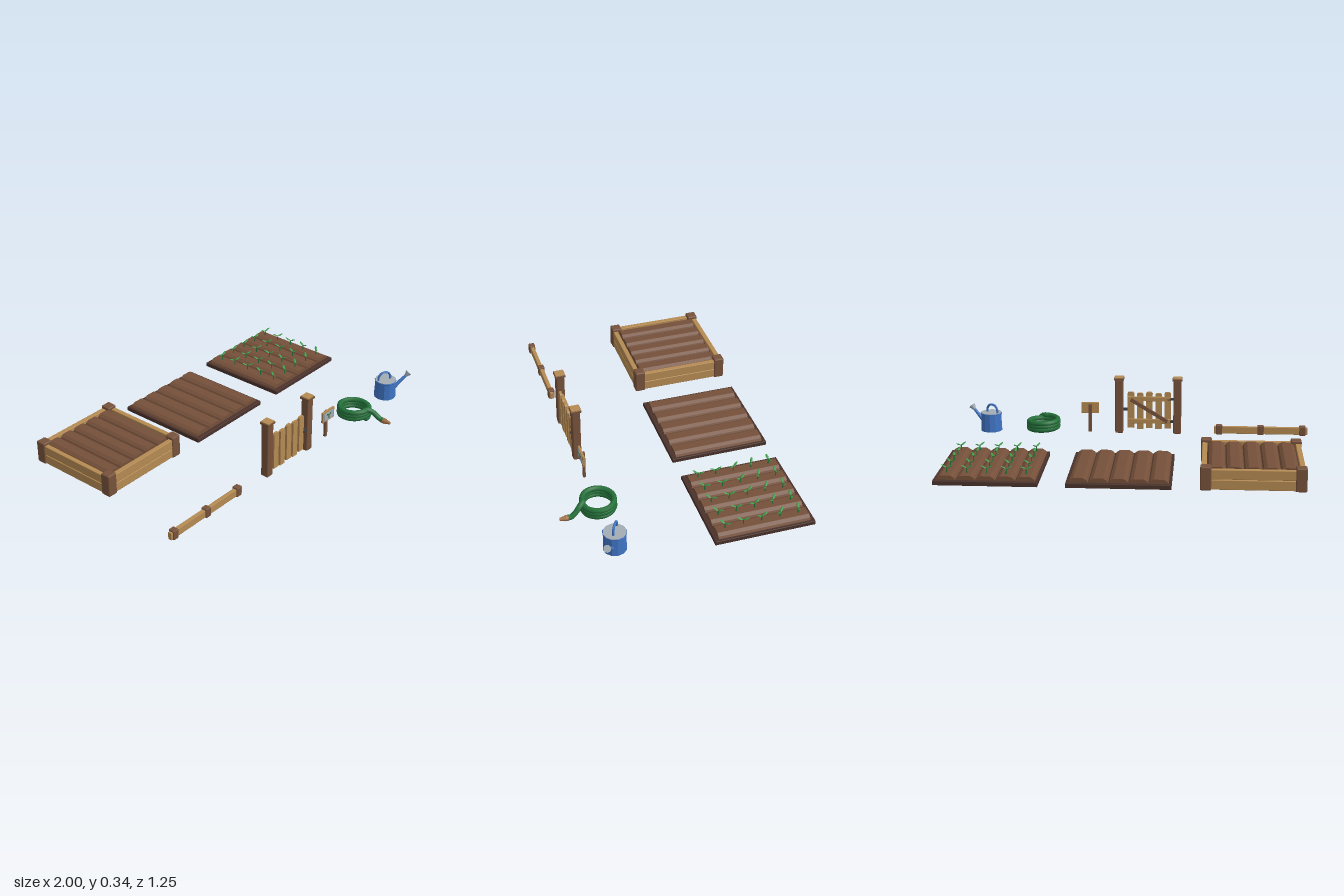
import * as THREE from 'three';
import { RoundedBoxGeometry } from 'three/addons/geometries/RoundedBoxGeometry.js';

const mat = (name, color, extra = {}) => {
  const m = new THREE.MeshStandardMaterial({ color, ...extra });
  m.name = name;
  return m;
};

export function createModel() {
  const M = {
    wood: mat('light wood', 0xb58a52),
    post: mat('brown wood', 0x77523b),
    soil: mat('tilled soil', 0x75503a, { flatShading: true }),
    dark: mat('dark soil', 0x4a322b),
    leaf: mat('leaf green', 0x3c9a45, { flatShading: true }),
    hose: mat('deep green', 0x24713a),
    blue: mat('can blue', 0x3f74c4, { flatShading: true }),
    grey: mat('pale metal', 0xa3adb4),
    iron: mat('dark iron', 0x3a3d42),
    brass: mat('copper fitting', 0xa9744a),
  };
  const model = new THREE.Group();
  model.name = 'gardenSet';

  const group = (name, x, z, parent = model) => {
    const g = new THREE.Group();
    g.name = name;
    g.position.set(x, 0, z);
    parent.add(g);
    return g;
  };
  const add = (parent, name, geo, material, x = 0, y = 0, z = 0) => {
    const m = new THREE.Mesh(geo, material);
    m.name = name;
    m.position.set(x, y, z);
    parent.add(m);
    return m;
  };
  // softly chamfered block
  const block = (p, name, w, h, d, material, x, y, z) =>
    add(p, name, new RoundedBoxGeometry(w, h, d, 1, Math.min(w, h, d) * 0.12), material, x, y, z);
  // rod between two points
  const rod = (p, name, a, b, ra, rb, material, sides = 8) => {
    const dir = b.clone().sub(a);
    const m = add(p, name, new THREE.CylinderGeometry(rb, ra, dir.length(), sides), material);
    m.position.copy(a).addScaledVector(dir, 0.5);
    m.quaternion.setFromUnitVectors(new THREE.Vector3(0, 1, 0), dir.normalize());
    return m;
  };
  const V = (x, y, z) => new THREE.Vector3(x, y, z);

  // five mounded rows of soil running front to back
  const ridges = (p, y, spacing, depth) => {
    const h = spacing / 2;
    const s = new THREE.Shape([
      [-h, 0], [h, 0], [h * 0.85, 0.014], [h * 0.5, 0.025], [-h * 0.5, 0.025], [-h * 0.85, 0.014],
    ].map(([a, b]) => new THREE.Vector2(a, b)));
    const geo = new THREE.ExtrudeGeometry(s, { depth, bevelEnabled: false });
    geo.translate(0, 0, -depth / 2);
    for (let i = -2; i <= 2; i++) add(p, 'soilRidge', geo, M.soil, i * spacing, y, 0);
  };

  // raised bed
  const bed = group('raisedBed', -0.657, -0.357);
  for (const sx of [-1, 1]) for (const sz of [-1, 1])
    block(bed, 'cornerPost', 0.058, 0.126, 0.058, M.post, sx * 0.243, 0.063, sz * 0.243);
  for (const s of [-1, 1]) {
    for (const y of [0.03, 0.085]) {
      block(bed, 'sidePlank', 0.028, 0.052, 0.46, M.wood, s * 0.252, y, 0);
      block(bed, 'endPlank', 0.46, 0.052, 0.028, M.wood, 0, y, s * 0.252);
    }
  }
  add(bed, 'bedSoil', new THREE.BoxGeometry(0.48, 0.086, 0.48), M.dark, 0, 0.047, 0);
  ridges(bed, 0.09, 0.094, 0.456);

  // ground plots
  const plot = (name, x) => {
    const g = group(name, x, -0.357);
    block(g, 'plotBase', 0.546, 0.024, 0.546, M.dark, 0, 0.012, 0);
    ridges(g, 0.022, 0.104, 0.5);
    return g;
  };
  plot('tilledPlot', 0.033);
  const planted = plot('plantedPlot', 0.722);

  // seedlings, each row turned further than the last
  const leafGeo = new THREE.OctahedronGeometry(1, 1);
  leafGeo.scale(0.018, 0.0035, 0.0075);
  const stemGeo = new THREE.CylinderGeometry(0.0025, 0.004, 0.032, 6);
  for (let c = -2; c <= 2; c++) for (let r = 0; r < 5; r++) {
    const s = group('seedling', c * 0.104, (r - 2) * 0.1, planted);
    s.rotation.y = -0.55 * r - 0.08 * (c + 2) + 0.1;
    add(s, 'stem', stemGeo, M.hose, 0, 0.061, 0);
    for (const k of [-1, 1]) {
      const l = add(s, 'leaf', leafGeo, M.leaf, k * 0.016, 0.081, 0);
      l.rotation.z = k * 0.45;
    }
  }

  // low edging
  const edge = group('edging', -0.728, 0.402);
  block(edge, 'edgingPlank', 0.543, 0.042, 0.022, M.wood, 0, 0.025, 0);
  for (const x of [-0.242, 0, 0.242])
    block(edge, 'edgingPost', 0.036, 0.054, 0.036, M.post, x, 0.027, 0);

  // gate with two posts
  const gate = group('gate', -0.07, 0.402);
  for (const s of [-1, 1]) {
    block(gate, 'gatePost', 0.046, 0.32, 0.046, M.post, s * 0.17, 0.16, 0);
    block(gate, 'postCap', 0.058, 0.012, 0.058, M.post, s * 0.17, 0.324, 0);
    block(gate, 'capTop', 0.052, 0.006, 0.052, M.wood, s * 0.17, 0.332, 0);
  }
  const slat = new THREE.Shape([
    [-0.019, 0], [0.019, 0], [0.019, 0.209], [0.012, 0.217], [-0.012, 0.217], [-0.019, 0.209],
  ].map(([a, b]) => new THREE.Vector2(a, b)));
  const slatGeo = new THREE.ExtrudeGeometry(slat, { depth: 0.014, bevelEnabled: false });
  for (let i = -2; i <= 2; i++)
    add(gate, 'slat', slatGeo, M.wood, -0.006 + i * 0.054, i % 2 ? 0.02 : 0.026, 0.004);
  for (const y of [0.07, 0.205]) {
    block(gate, 'rail', 0.25, 0.026, 0.014, M.wood, -0.006, y, -0.003);
    block(gate, 'hinge', 0.05, 0.014, 0.012, M.iron, -0.137, y, -0.004);
  }
  const brace = block(gate, 'brace', 0.25, 0.022, 0.012, M.post, -0.006, 0.137, -0.014);
  brace.rotation.z = 0.55;
  block(gate, 'latch', 0.04, 0.014, 0.014, M.iron, 0.134, 0.138, 0.012);

  // plant marker
  const sign = group('plantSign', 0.272, 0.41);
  block(sign, 'signStake', 0.02, 0.165, 0.014, M.post, 0, 0.0825, -0.004);
  block(sign, 'signBoard', 0.104, 0.064, 0.012, M.wood, 0, 0.142, 0.008);
  add(sign, 'signPanel', new THREE.BoxGeometry(0.084, 0.046, 0.003), M.grey, 0, 0.142, 0.0145);
  add(sign, 'paintedStem', new THREE.BoxGeometry(0.004, 0.026, 0.002), M.hose, 0, 0.137, 0.017);
  for (const k of [-1, 1]) {
    const l = add(sign, 'paintedLeaf', new THREE.SphereGeometry(1, 8, 4), M.hose, k * 0.011, 0.15, 0.0165);
    l.scale.set(0.012, 0.005, 0.002);
    l.rotation.z = k * 0.4;
  }

  // coiled hose
  const hose = group('hose', 0.548, 0.404);
  const R = 0.084, path = [];
  for (let i = 0; i <= 72; i++) {
    const t = i / 72, a = Math.PI / 2 + 6 * Math.PI * (1 - t);
    path.push(V(R * Math.cos(a), 0.017 + 0.056 * t, R * Math.sin(a)));
  }
  path.push(V(0.022, 0.062, 0.105), V(0.036, 0.036, 0.132), V(0.042, 0.02, 0.156), V(0.042, 0.018, 0.175));
  add(hose, 'hoseCoil', new THREE.TubeGeometry(new THREE.CatmullRomCurve3(path), 200, 0.0155, 8), M.hose);
  add(hose, 'hoseEnd', new THREE.SphereGeometry(0.0155, 8, 6), M.hose, 0, 0.017, R);
  rod(hose, 'nozzleCollar', V(0.042, 0.018, 0.172), V(0.042, 0.018, 0.19), 0.016, 0.016, M.brass);
  rod(hose, 'nozzle', V(0.042, 0.018, 0.19), V(0.042, 0.018, 0.218), 0.013, 0.008, M.brass);

  // watering can
  const can = group('wateringCan', 0.858, 0.404);
  can.rotation.y = -0.53;
  add(can, 'canBody', new THREE.CylinderGeometry(0.059, 0.063, 0.104, 12), M.blue, 0, 0.052, 0);
  const rim = add(can, 'canRim', new THREE.TorusGeometry(0.06, 0.004, 6, 12), M.blue, 0, 0.104, 0);
  rim.rotation.x = Math.PI / 2;
  add(can, 'canLid', new THREE.CylinderGeometry(0.061, 0.061, 0.008, 12), M.grey, 0, 0.105, 0);
  const arch = new THREE.CatmullRomCurve3([
    V(-0.046, 0.1, 0), V(-0.045, 0.13, 0), V(-0.03, 0.15, 0), V(-0.009, 0.155, 0),
    V(0.012, 0.15, 0), V(0.027, 0.13, 0), V(0.028, 0.1, 0),
  ]);
  add(can, 'canHandle', new THREE.TubeGeometry(arch, 20, 0.0065, 6), M.blue);
  rod(can, 'spout', V(0.05, 0.04, 0), V(0.132, 0.11, 0), 0.013, 0.008, M.blue);
  rod(can, 'sprinklerRose', V(0.128, 0.107, 0), V(0.147, 0.125, 0), 0.008, 0.02, M.grey, 10);

  return model;
}
